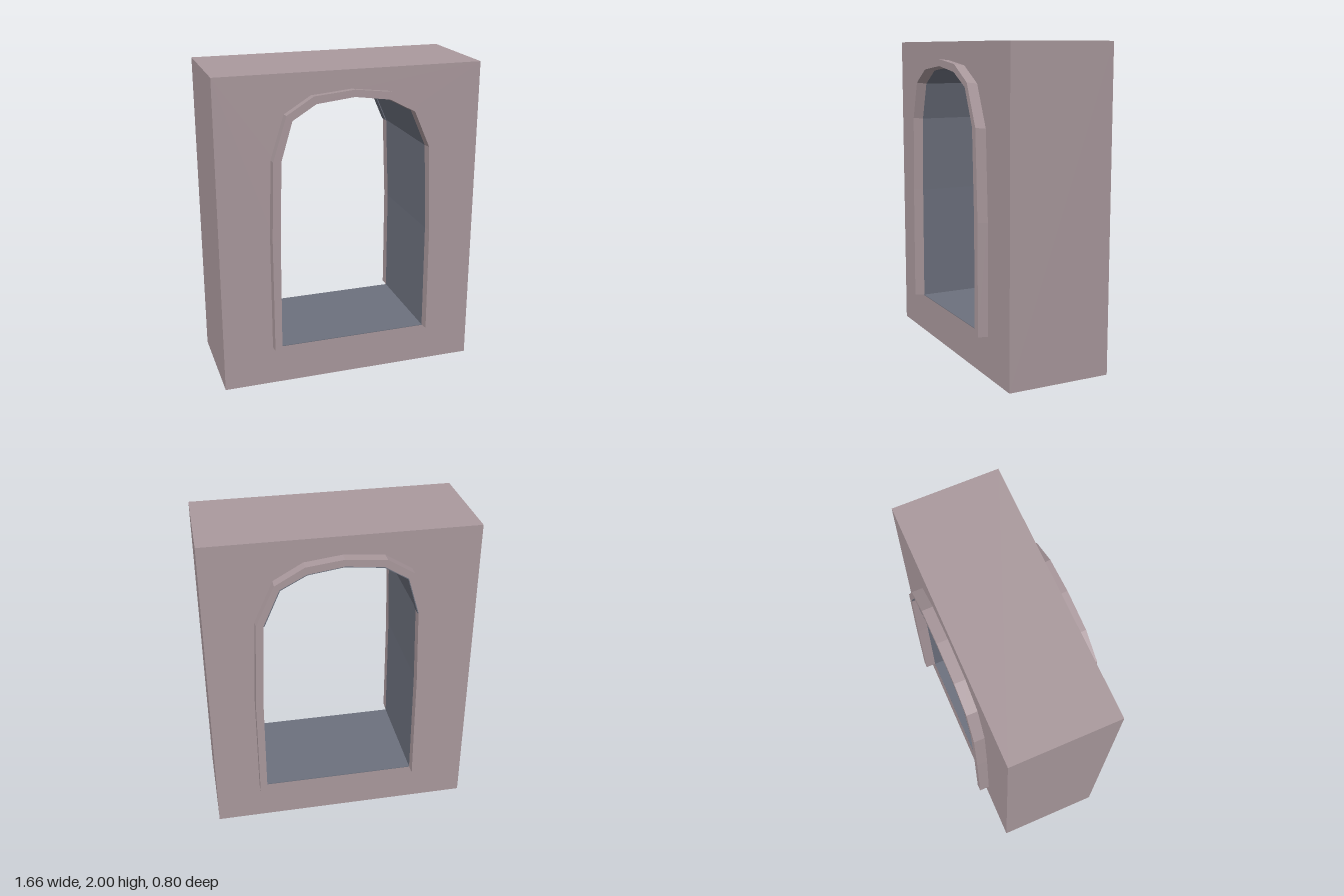
import * as THREE from 'three';

const wallMat = new THREE.MeshStandardMaterial({ color: 0xaa999d, flatShading: true });
wallMat.name = 'warm grey stone';
const liningMat = new THREE.MeshStandardMaterial({ color: 0x6c707d, flatShading: true });
liningMat.name = 'blue grey lining';

// Arch profiles, from the foot at -x over the crown to the foot at +x
const SILL = 0.255;
const WALL = 0.333; // half depth of the wall
const TRIM = 0.067; // how far the trim stands out
const outer = [[-0.515, SILL], [-0.515, 1.0], [-0.5, 1.49], [-0.415, 1.76], [-0.25, 1.862], [0, 1.885],
  [0.23, 1.857], [0.41, 1.755], [0.525, 1.5], [0.55, 0.95], [0.55, SILL]];
const inner = [[-0.47, SILL], [-0.465, 1.0], [-0.45, 1.49], [-0.38, 1.727], [-0.235, 1.816], [0, 1.842],
  [0.22, 1.811], [0.38, 1.727], [0.48, 1.5], [0.503, 0.95], [0.505, SILL]];
// Midway line where wall and lining meet, hidden behind the trim
const middle = outer.map(([x, y], i) => [(x + inner[i][0]) / 2, y === SILL ? SILL - 0.004 : (y + inner[i][1]) / 2]);

const points = (list) => list.map(([x, y]) => new THREE.Vector2(x, y));

// Extruded outline (counter-clockwise) with an optional hole (clockwise)
function slab(name, outline, hole, z, depth, material) {
  const shape = new THREE.Shape(points(outline));
  if (hole) shape.holes.push(new THREE.Path(points(hole)));
  const geometry = new THREE.ExtrudeGeometry(shape, { depth, bevelEnabled: false });
  geometry.translate(0, 0, z);
  const mesh = new THREE.Mesh(geometry, material);
  mesh.name = name;
  return mesh;
}

export function createModel() {
  const model = new THREE.Group();
  model.name = 'archway';

  // Thick wall block with the arched opening
  const block = [[-0.83, 0], [0.83, 0], [0.83, 2], [-0.83, 2]];
  model.add(slab('wall', block, middle, -WALL, 2 * WALL, wallMat));

  // Lining of the passage: jambs, vault and floor
  model.add(slab('passageLining', [...middle].reverse(), inner, -WALL, 2 * WALL, liningMat));

  // Raised trim round the arch on both faces, open at the sill
  const band = [...[...outer].reverse(), ...inner];
  const frontTrim = slab('frontTrim', band, null, WALL, TRIM, wallMat);
  model.add(frontTrim, slab('backTrim', band, null, -WALL - TRIM, TRIM, wallMat));

  // The front trim rises slightly towards its outer edge
  const position = frontTrim.geometry.attributes.position;
  for (let i = 0; i < position.count; i++) {
    position.setY(i, position.getY(i) + (position.getZ(i) - WALL) * 0.11);
  }
  frontTrim.geometry.computeVertexNormals();

  // Thin lining carried on under the vault of the back trim
  const vault = inner.slice(2, 9);
  const under = vault.map(([x, y]) => [x * 0.99, y - 0.004]);
  model.add(slab('backVaultLining', [...vault.reverse(), ...under], null, -WALL - TRIM, TRIM, liningMat));

  return model;
}
